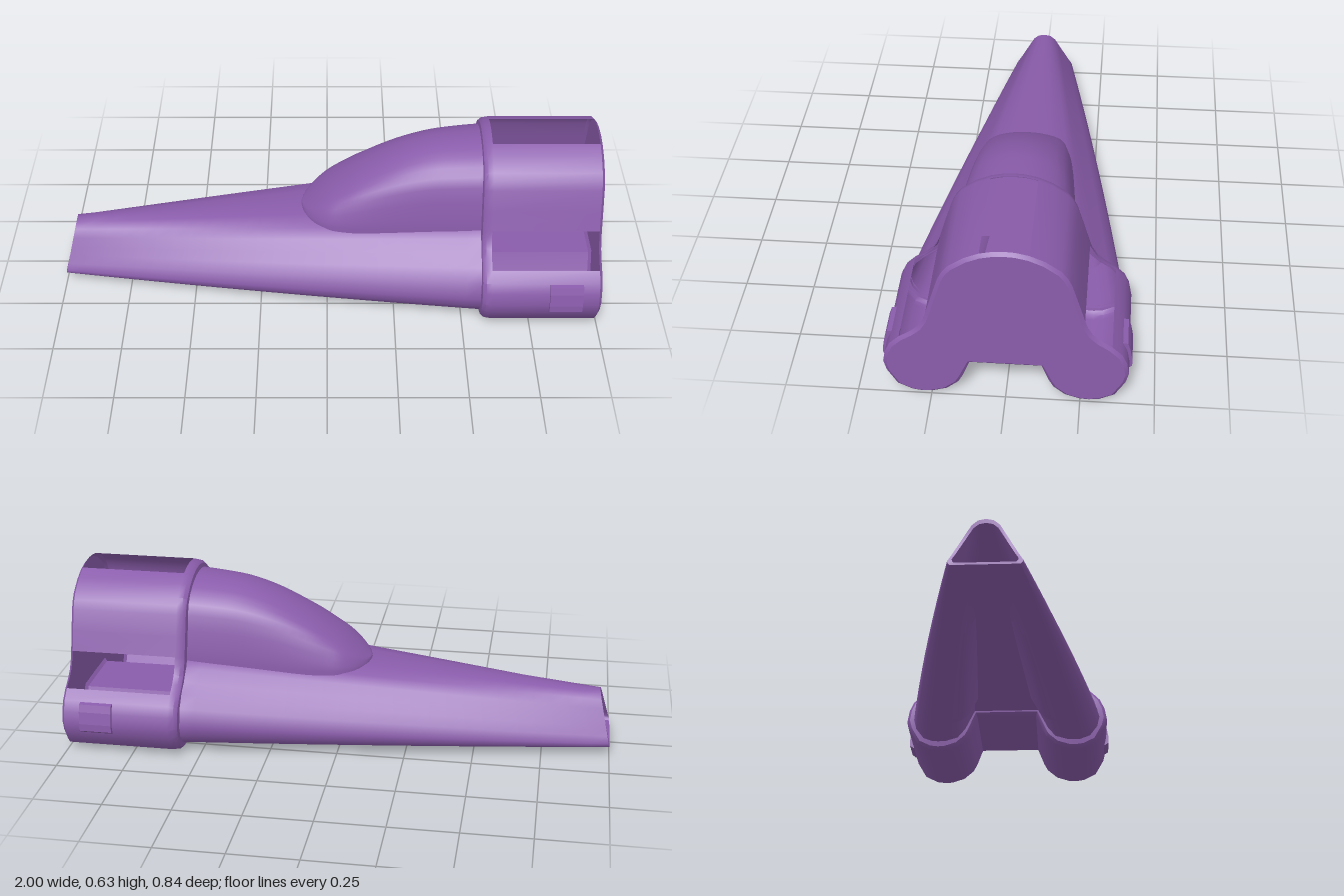
import * as THREE from 'three';
import { toCreasedNormals } from 'three/addons/utils/BufferGeometryUtils.js';

const { lerp } = THREE.MathUtils;
const material = new THREE.MeshStandardMaterial({ color: 0x8a5cab, side: THREE.DoubleSide });

// Half cross-sections as [z, y], from top centre round to bottom centre
const COLLAR = [[0, .63], [.035, .628], [.08, .618], [.13, .596], [.18, .56], [.2, .535], [.215, .505], [.238, .43],
  [.26, .355], [.27, .325], [.288, .295], [.315, .27], [.352, .245], [.385, .212], [.402, .175], [.41, .13],
  [.4, .09], [.365, .03], [.315, .005], [.28, 0], [.25, .002], [.2, .018], [.16, .052], [.145, .08], [.12, .145], [0, .145]];
const BODY_END = [[0, .345], [.1, .345], [.2, .335], [.245, .31], [.28, .268], [.325, .235], [.362, .195], [.38, .13],
  [.37, .09], [.34, .05], [.3, .035], [.25, .035], [.2, .05], [.17, .085], [.13, .165], [0, .165]];
const BODY_TIP = [[0, .22], [.025, .214], [.045, .195], [.06, .165], [.075, .135], [.09, .105], [.105, .075], [.118, .052],
  [.117, .042], [.11, .035], [.1, .035], [.085, .035], [.07, .035], [.05, .035], [.03, .035], [0, .035]];
const HUMP = [[0, 1], [.17, .993], [.33, .965], [.5, .915], [.65, .845], [.78, .75], [.86, .62], [.92, .42], [.98, .18], [1, 0], [1, -.2]];

// Closed loop from a half section
const mirror = half => [...half, ...half.slice(1, -1).reverse().map(([z, y]) => [-z, y])];

// Move a closed clockwise loop inwards by d
function inset(loop, d) {
  const n = loop.length;
  return loop.map(([z, y], i) => {
    const p = loop[(i + n - 1) % n], q = loop[(i + 1) % n];
    const dz = q[0] - p[0], dy = q[1] - p[1], l = Math.hypot(dz, dy);
    return [z + dy / l * d, y - dz / l * d];
  });
}

// Skin a row of [x, y, z] rings; skip(a, b, c) leaves a cell open
function loft(rings, crease, closed = true, skip = () => false) {
  const n = rings[0].length, index = [];
  for (let r = 0; r < rings.length - 1; r++) {
    for (let i = 0; i < (closed ? n : n - 1); i++) {
      const j = (i + 1) % n, a = r * n + i, b = r * n + j;
      if (!skip(rings[r][i], rings[r][j], rings[r + 1][i])) index.push(a, b, a + n, b, b + n, a + n);
    }
  }
  const g = new THREE.BufferGeometry();
  g.setAttribute('position', new THREE.Float32BufferAttribute(rings.flat(2), 3));
  g.setIndex(index);
  return toCreasedNormals(g, crease);
}

export function createModel() {
  const group = new THREE.Group();
  const add = (name, geometry) => {
    const mesh = new THREE.Mesh(geometry, material);
    mesh.name = name;
    group.add(mesh);
    return mesh;
  };

  // Tapered nozzle with a slanted open tip and an inner lining
  const bodyRing = (t, scale = 1) => mirror(BODY_TIP.map(([z0, y0], i) => {
    const y = lerp(y0, BODY_END[i][1], t), z = lerp(z0, BODY_END[i][0], t) + z0 * .35 * t * (1 - t);
    return [z * scale, .1 + (y - .1) * scale, y0];
  })).map(([z, y, y0], i, all) => {
    const tipY = BODY_TIP[i < BODY_TIP.length ? i : all.length - i][1];
    return [lerp(-1 + .045 * (tipY - .035) / .185, .575, t), y, z];
  });
  const steps = Array.from({ length: 25 }, (_, i) => i / 24);
  add('nozzleBody', loft([
    ...steps.slice(0, 22).reverse().map(t => bodyRing(t, .88)),
    ...steps.map(t => bodyRing(t)),
  ], .75));

  // Hump rising out of the nozzle: [x, half width, top height]
  const humpCurve = new THREE.CatmullRomCurve3([
    [-.098, .005, .297], [-.085, .06, .308], [-.05, .113, .34], [0, .15, .382], [.06, .167, .425], [.13, .178, .47],
    [.26, .19, .538], [.38, .2, .578], [.48, .209, .592], [.575, .216, .6],
  ].map(p => new THREE.Vector3(...p)));
  const humpRings = humpCurve.getPoints(36).map(({ x, y: w, z: top }) => {
    const base = lerp(.285, .325, (x + .1) / .67);
    const half = HUMP.map(([u, v]) => [w * u, v < 0 ? base - .06 : base + (top - base) * v]);
    return [...half.slice(1).reverse().map(([z, y]) => [x, y, -z]), ...half.map(([z, y]) => [x, y, z])];
  });
  add('topHump', loft(humpRings, .9, false));

  // Collar shell with a slot along the top and one at each waist
  const section = mirror(COLLAR);
  const collarRings = [[.563, .034], [.567, .014], [.58, .003], [.6, 0], [.99, 0], [1, .012]]
    .map(([x, d]) => inset(section, d).map(([z, y]) => [x, y, z]));
  const isSlot = (a, b, c) => {
    if (a[0] < .59 || c[0] > .995) return false;
    const y = (a[1] + b[1]) / 2, z = Math.abs(a[2] + b[2]) / 2;
    return (y > .6 && z < .08) || (y > .245 && y < .355 && z > .2);
  };
  add('collar', loft(collarRings, .6, true, isSlot));

  // Flat end plate
  const outline = inset(section, .012).map(([z, y]) => new THREE.Vector2(-z, y));
  const plate = add('endPlate', new THREE.ShapeGeometry(new THREE.Shape(outline)));
  plate.rotation.y = Math.PI / 2;
  plate.position.x = 1;

  // Latch pads on both flanks
  for (const side of [1, -1]) {
    const pad = new THREE.Shape([[.38, .21], [.403, .207], [.412, .18], [.42, .135], [.42, .108], [.405, .097], [.38, .1]]
      .map(([z, y]) => new THREE.Vector2(-z * side, y)));
    const latch = add(side > 0 ? 'frontLatch' : 'backLatch',
      new THREE.ExtrudeGeometry(pad, { depth: .12, bevelEnabled: false }));
    latch.rotation.y = Math.PI / 2;
    latch.position.x = .81;
  }
  return group;
}
